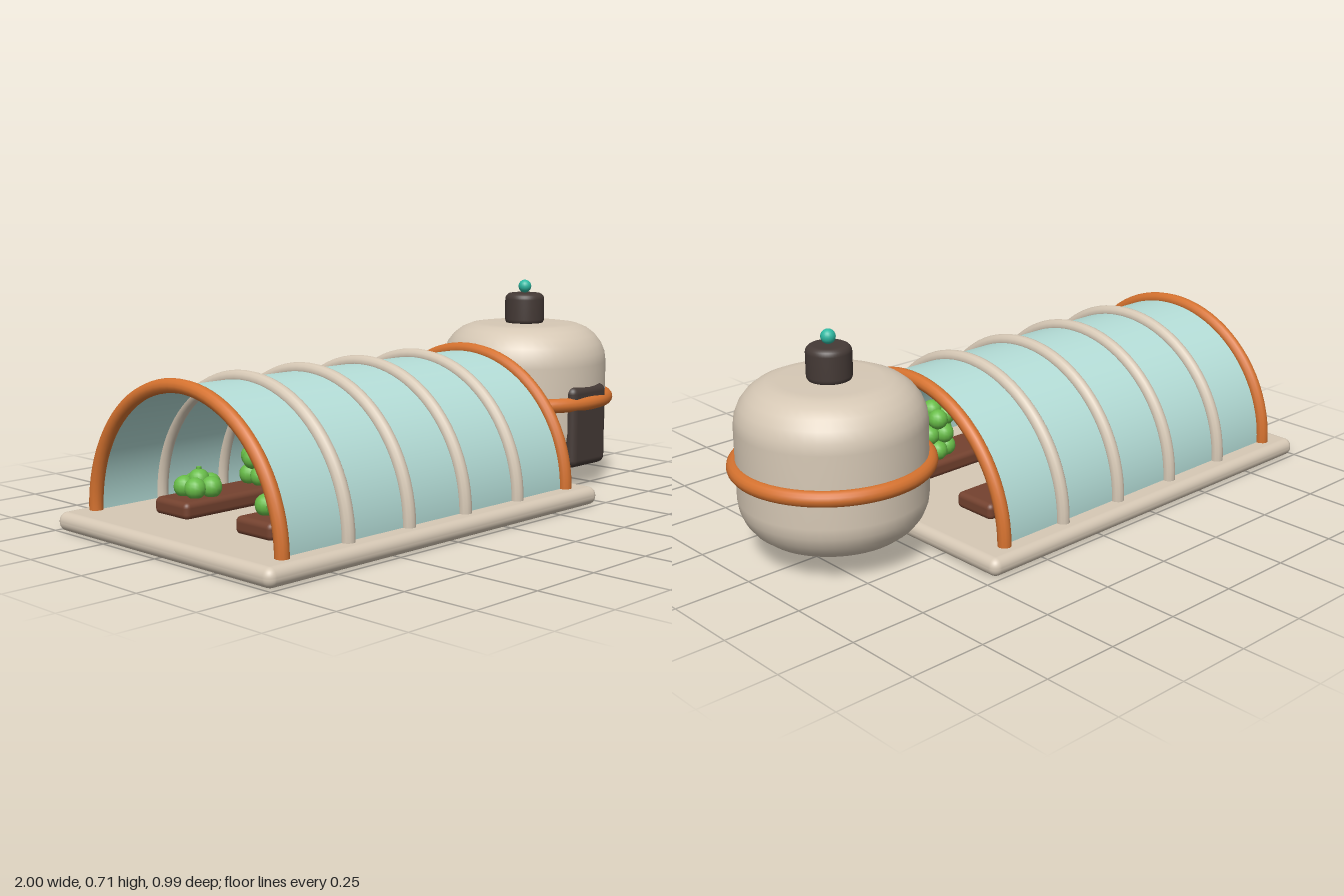
import * as THREE from 'three';
import { RoundedBoxGeometry } from 'three/addons/geometries/RoundedBoxGeometry.js';

const paint = (name, color) => {
  const m = new THREE.MeshStandardMaterial({ color });
  m.name = name;
  return m;
};

export function createModel() {
  const cream = paint('cream', 0xd6c8b5);
  const orange = paint('orange', 0xd5722f);
  const dark = paint('charcoal', 0x453a36);
  const brown = paint('soil brown', 0x74422f);
  const green = paint('leaf green', 0x68bd48);
  const teal = paint('teal', 0x2fb9a2);
  const glass = paint('pale glass', 0xb4ddd7);
  glass.side = THREE.DoubleSide;

  const model = new THREE.Group();
  const add = (name, geo, mat, x = 0, y = 0, z = 0, parent = model) => {
    const mesh = new THREE.Mesh(geo, mat);
    mesh.name = name;
    mesh.position.set(x, y, z);
    parent.add(mesh);
    return mesh;
  };

  // Lathe profile of a cylinder with rounded rims, standing on y = 0
  const roundedDrum = (radius, height, bevel, steps) => {
    const pts = [new THREE.Vector2(0, 0)];
    for (const [cy, start] of [[bevel, -Math.PI / 2], [height - bevel, 0]]) {
      for (let i = 0; i <= steps; i++) {
        const a = start + (i / steps) * Math.PI / 2;
        pts.push(new THREE.Vector2(radius - bevel + bevel * Math.cos(a), cy + bevel * Math.sin(a)));
      }
    }
    pts.push(new THREE.Vector2(0, height));
    return new THREE.LatheGeometry(pts, 48);
  };

  // Floor slab
  const floorY = 0.06;
  add('floorSlab', new RoundedBoxGeometry(1.465, 0.06, 0.99, 4, 0.028), cream, -0.2675, 0.03, 0);

  // Half-cylinder skin of the tunnel, open at both ends
  const skin = new THREE.CylinderGeometry(0.425, 0.425, 1.26, 48, 1, true, 0, Math.PI);
  skin.rotateZ(Math.PI / 2);
  add('tunnelSkin', skin, glass, -0.265, floorY, 0);

  // Arched ribs, with orange end hoops
  const ribGeo = new THREE.TorusGeometry(0.43, 0.022, 12, 40, Math.PI);
  ribGeo.rotateY(Math.PI / 2);
  for (let i = 0; i < 6; i++) {
    const end = i === 0 || i === 5;
    add(end ? 'endHoop' : 'rib', ribGeo, end ? orange : cream, -0.895 + i * 0.252, floorY, 0);
  }

  // Planting beds, each with a row of bushes made of leaf balls
  const leaf = new THREE.SphereGeometry(0.034, 14, 10);
  const stem = new THREE.CylinderGeometry(0.008, 0.01, 0.1, 8);
  const bush = (x, y, z, tiers) => {
    const plant = new THREE.Group();
    plant.name = 'bush';
    plant.position.set(x, y, z);
    for (let t = 0; t < tiers; t++) {
      const h = 0.03 + t * 0.055;
      for (let k = 0; k < 5; k++) {
        const a = (k / 5) * Math.PI * 2 + t * 0.6;
        add('leafBall', leaf, green, Math.cos(a) * 0.045, h, Math.sin(a) * 0.045, plant);
      }
    }
    add('leafBall', leaf, green, 0, 0.05 + (tiers - 1) * 0.055, 0, plant);
    add('stem', stem, green, 0, 0.04, 0, plant);
    model.add(plant);
  };
  for (const side of [-1, 1]) {
    add('plantingBed', new RoundedBoxGeometry(1.07, 0.055, 0.16, 3, 0.018), brown, -0.26, 0.083, side * 0.19);
    for (let i = 0; i < 4; i++) bush(-0.68 + i * 0.265, 0.108, side * 0.19, i === 3 ? 3 : 1 + (i % 2));
  }

  // Overhead pipe inside the tunnel
  const pipe = new THREE.CylinderGeometry(0.012, 0.012, 1.04, 12);
  pipe.rotateZ(Math.PI / 2);
  add('overheadPipe', pipe, teal, -0.265, 0.43, 0);

  // Round pod with belt, door, cap and beacon
  const pod = new THREE.Group();
  pod.name = 'pod';
  pod.position.x = 0.675;
  model.add(pod);
  add('podBody', roundedDrum(0.293, 0.497, 0.135, 6), cream, 0, 0.064, 0, pod);
  const belt = new THREE.TorusGeometry(0.295, 0.025, 14, 64);
  belt.rotateX(Math.PI / 2);
  add('podBelt', belt, orange, 0, 0.298, 0, pod);
  add('podDoor', new RoundedBoxGeometry(0.195, 0.285, 0.06, 4, 0.026), dark, 0, 0.217, 0.272, pod);
  add('roofCap', roundedDrum(0.07, 0.115, 0.022, 5), dark, 0, 0.552, 0, pod);
  add('beacon', new THREE.SphereGeometry(0.023, 20, 14), teal, 0, 0.691, 0, pod);

  return model;
}
